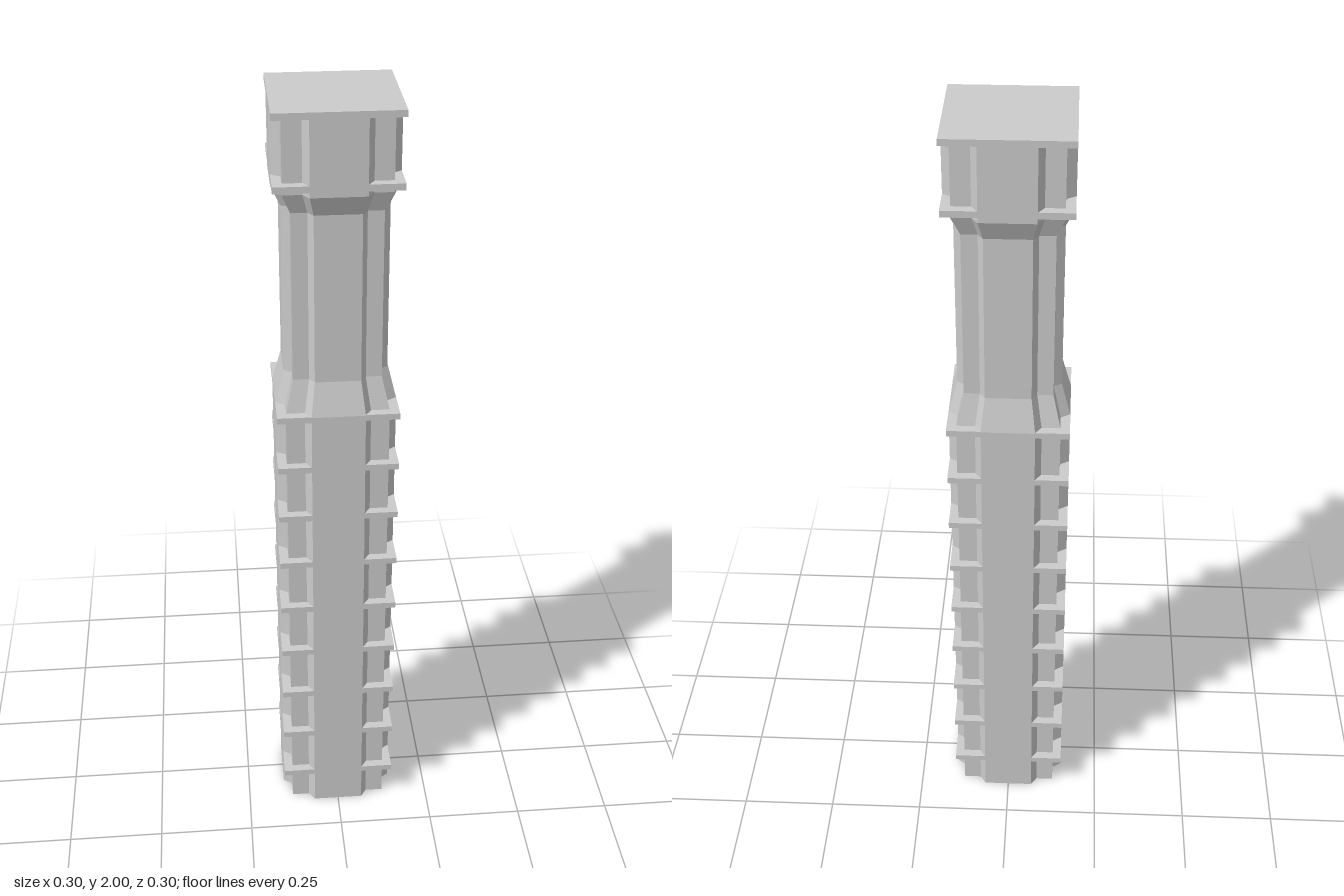
import * as THREE from 'three';

const HALF = 0.15;      // half width over the panels and ribs
const PANEL = 0.066;    // half width of each flat panel
const CORNER = 0.127;   // half width over the recessed corners
const RIB = 0.016;      // rib thickness

// Square outline with bevelled, notched corners: one side, turned four times
function section() {
  const points = [];
  for (let k = 0; k < 4; k++) {
    let side = [[HALF, -PANEL], [HALF, PANEL], [CORNER, 0.081], [CORNER, CORNER], [0.081, CORNER]];
    for (let r = 0; r < k; r++) side = side.map(([x, z]) => [-z, x]);
    points.push(...side);
  }
  return points;
}

// Skin the outline through a list of [height, scale] levels
function loft(outline, levels) {
  const pos = [];
  const n = outline.length;
  const at = (i, [y, s]) => [outline[i % n][0] * s, y, outline[i % n][1] * s];
  for (let j = 0; j < levels.length - 1; j++) {
    for (let i = 0; i < n; i++) {
      const a = at(i, levels[j]), b = at(i, levels[j + 1]);
      const c = at(i + 1, levels[j + 1]), d = at(i + 1, levels[j]);
      pos.push(...a, ...b, ...c, ...a, ...c, ...d);
    }
  }
  const geo = new THREE.BufferGeometry();
  geo.setAttribute('position', new THREE.Float32BufferAttribute(pos, 3));
  geo.computeVertexNormals();
  return geo;
}

export function createModel() {
  const group = new THREE.Group();
  const material = new THREE.MeshStandardMaterial({ color: 0xcccccc, flatShading: true });
  const openMaterial = material.clone();
  openMaterial.side = THREE.DoubleSide;

  // Hollow shaft, open below, with a narrowed waist
  const shaft = new THREE.Mesh(
    loft(section(), [[0, 1], [1.245, 1], [1.33, 0.85], [1.755, 0.85], [1.805, 1], [1.99, 1]]),
    openMaterial
  );
  shaft.name = 'shaft';
  group.add(shaft);

  // Square cap
  const cap = new THREE.Mesh(new THREE.BoxGeometry(2 * HALF, RIB, 2 * HALF), material);
  cap.name = 'cap';
  cap.position.y = 2 - RIB / 2;
  group.add(cap);

  // Corner ribs that square off the notches
  const heights = [1.825];
  for (let i = 0; i < 9; i++) heights.push(0.103 + i * 0.142);
  const width = HALF - PANEL;
  const ribGeo = new THREE.BoxGeometry(width, RIB, width);
  const centre = PANEL + width / 2;
  const ribs = new THREE.Group();
  ribs.name = 'cornerRibs';
  for (const y of heights) {
    for (const sx of [-1, 1]) {
      for (const sz of [-1, 1]) {
        const rib = new THREE.Mesh(ribGeo, material);
        rib.name = 'cornerRib';
        rib.position.set(sx * centre, y, sz * centre);
        ribs.add(rib);
      }
    }
  }
  group.add(ribs);
  return group;
}
